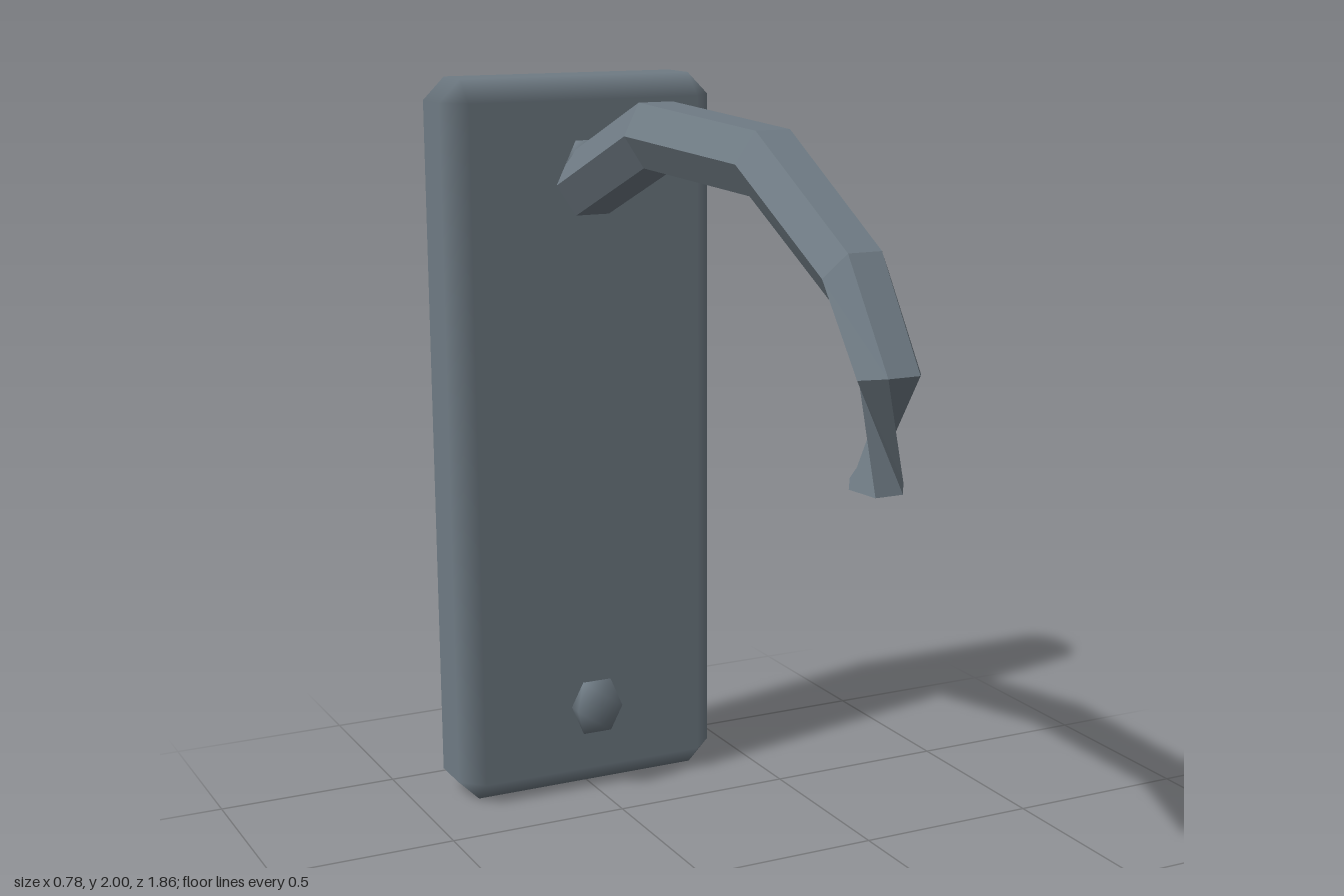
import * as THREE from 'three';
import { mergeVertices } from 'three/addons/utils/BufferGeometryUtils.js';
import { ConvexGeometry } from 'three/addons/geometries/ConvexGeometry.js';

const X = 0.39, Y = 2, BACK = -0.93, FRONT = -0.69, B = 0.06;

// Bevelled plate: hull of the six inset faces, with one back corner clipped
function plateGeometry() {
  const pts = [];
  const add = (x, y, z) => pts.push(new THREE.Vector3(x, y, z));
  for (const sx of [-1, 1]) for (const top of [0, 1]) for (const front of [0, 1]) {
    const x = sx * X, xi = sx * (X - B);
    const y = top ? Y : 0, yi = top ? Y - B : B;
    const z = front ? FRONT : BACK, zi = front ? FRONT - B : BACK + B;
    if (sx > 0 && !top && !front) {
      add(x, yi, zi + 0.07); add(x, yi + 0.07, zi);
      add(xi - 0.11, yi, z); add(xi, yi + 0.11, z);
      add(xi, y, zi + 0.07); add(xi - 0.11, y, zi);
    } else {
      add(x, yi, zi); add(xi, y, zi); add(xi, yi, z);
    }
  }
  const geo = new ConvexGeometry(pts);
  // Every corner takes the normal of its main face, so bevels shade softly
  const p = geo.attributes.position, n = geo.attributes.normal;
  const near = (a, b) => Math.abs(a - b) < 1e-4;
  for (let i = 0; i < p.count; i++) {
    const x = p.getX(i), y = p.getY(i), z = p.getZ(i);
    if (near(Math.abs(x), X)) n.setXYZ(i, Math.sign(x), 0, 0);
    else if (near(y, 0) || near(y, Y)) n.setXYZ(i, 0, y > 1 ? 1 : -1, 0);
    else n.setXYZ(i, 0, 0, near(z, FRONT) ? 1 : -1);
  }
  return geo;
}

// Six-sided arm, lofted through sections; the last one is twisted
function hookGeometry() {
  // outer z, y, inner z, y, radius, twist in degrees
  const sections = [
    [-0.690, 1.800, -0.655, 1.640, 0.095, 0],
    [-0.260, 1.963, -0.233, 1.804, 0.093, 0],
    [0.350, 1.942, 0.323, 1.793, 0.088, 0],
    [0.762, 1.719, 0.690, 1.607, 0.083, 0],
    [0.930, 1.480, 0.810, 1.459, 0.078, 0],
    [0.880, 1.215, 0.772, 1.236, 0.068, -120],
  ];
  const pos = [], index = [], N = 6;
  for (const [oz, oy, iz, iy, r, twist] of sections) {
    const cz = (oz + iz) / 2, cy = (oy + iy) / 2;
    const k = 1 / Math.sin(Math.PI / 3);
    for (let j = 0; j < N; j++) {
      const a = THREE.MathUtils.degToRad(j * 60 + twist);
      const s = Math.sin(a) * k;
      pos.push(r * Math.cos(a), cy + (oy - cy) * s, cz + (oz - cz) * s);
    }
  }
  const last = (sections.length - 1) * N;
  for (let a = 0; a < last; a += N) for (let j = 0; j < N; j++) {
    const k = (j + 1) % N;
    index.push(a + j, a + k, a + N + j, a + k, a + N + k, a + N + j);
  }
  // End caps
  for (let j = 1; j < N - 1; j++) {
    index.push(0, j + 1, j, last, last + j, last + j + 1);
  }
  const geo = new THREE.BufferGeometry();
  geo.setAttribute('position', new THREE.Float32BufferAttribute(pos, 3));
  geo.setIndex(index);
  const flat = geo.toNonIndexed();
  flat.computeVertexNormals();
  return flat;
}

// Squashed low-poly ball with smooth normals
function screwGeometry() {
  let geo = new THREE.IcosahedronGeometry(1, 0);
  geo.deleteAttribute('normal');
  geo.deleteAttribute('uv');
  geo = mergeVertices(geo, 1e-3);
  geo.scale(0.08, 0.09, 0.042);
  geo.computeVertexNormals();
  return geo;
}

export function createModel() {
  const group = new THREE.Group();
  const metal = new THREE.MeshStandardMaterial({ color: 0x6f7b84 });
  metal.name = 'greyMetal';
  const add = (name, geo) => {
    const mesh = new THREE.Mesh(geo, metal);
    mesh.name = name;
    group.add(mesh);
    return mesh;
  };

  add('wallPlate', plateGeometry());
  add('hookArm', hookGeometry());
  const screw = screwGeometry();
  add('upperScrew', screw).position.set(0, 1.76, -0.665);
  add('lowerScrew', screw).position.set(0, 0.25, -0.665);
  return group;
}
